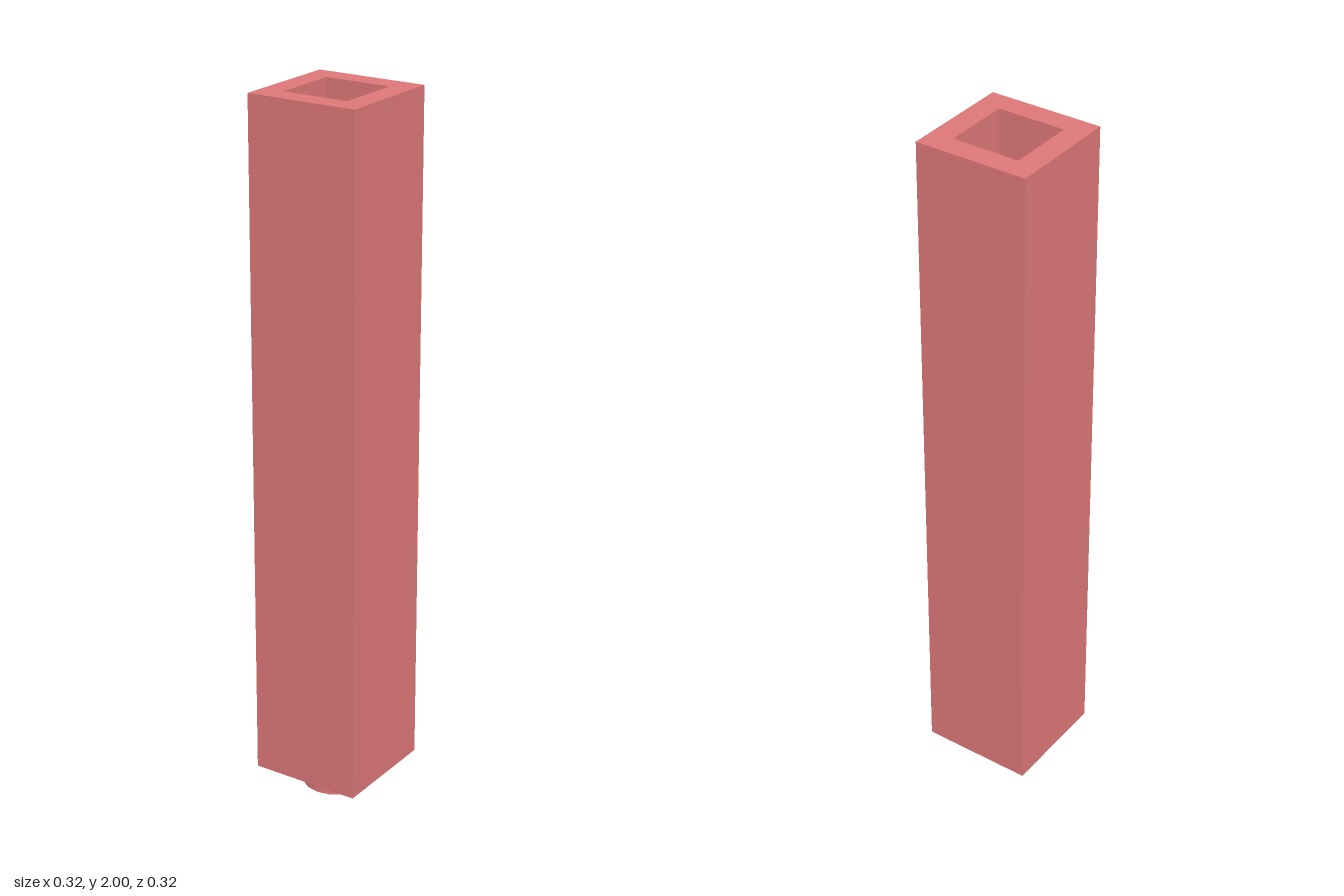
import * as THREE from 'three';
import { toCreasedNormals } from 'three/addons/utils/BufferGeometryUtils.js';

const HALF = 0.1613, INNER = 0.0968;        // outer and inner half widths of the column
const PEG_R = 0.0968, HOLE_R = 0.0645;      // peg and bore radii
const BASE = 0.0645, FLOOR = 0.129, TOP = 2; // heights

const material = new THREE.MeshStandardMaterial({ color: 0xdd7777 });

const squarePoints = (h) => [[-h, -h], [h, -h], [h, h], [-h, h]].map(([x, y]) => new THREE.Vector2(x, y));
const circlePoints = (r) => Array.from({ length: 16 }, (_, i) => {
  const a = (i / 16) * Math.PI * 2;
  return new THREE.Vector2(r * Math.cos(a), r * Math.sin(a));
});

export function createModel() {
  const model = new THREE.Group();
  model.name = 'hollowColumn';

  const add = (name, geometry) => {
    const mesh = new THREE.Mesh(geometry, material);
    mesh.name = name;
    model.add(mesh);
  };

  // Open sleeve between two heights; inward sleeves are mirrored to reverse their winding
  const sleeve = (name, radius, sides, y0, y1, inward = false) => {
    const start = sides === 4 ? Math.PI / 4 : 0;
    const g = new THREE.CylinderGeometry(radius, radius, y1 - y0, sides, 1, true, start);
    if (inward) g.scale(-1, 1, 1);
    g.translate(0, (y0 + y1) / 2, 0);
    add(name, toCreasedNormals(g, Math.PI / 5));
  };

  // Flat horizontal face with a hole, looking up or down
  const face = (name, outline, hole, y, up) => {
    const shape = new THREE.Shape(outline);
    shape.holes.push(new THREE.Path(hole));
    const g = new THREE.ShapeGeometry(shape);
    g.rotateX(up ? -Math.PI / 2 : Math.PI / 2);
    g.translate(0, y, 0);
    add(name, g);
  };

  // Square column, hollow from the rim down to the floor
  sleeve('outerWalls', HALF * Math.SQRT2, 4, BASE, TOP);
  sleeve('innerWalls', INNER * Math.SQRT2, 4, FLOOR, TOP, true);
  face('topRim', squarePoints(HALF), squarePoints(INNER), TOP, true);
  face('innerFloor', squarePoints(INNER), circlePoints(HOLE_R), FLOOR, true);
  face('underside', squarePoints(HALF), circlePoints(PEG_R), BASE, false);

  // Round hollow peg below, its bore opening through the floor
  sleeve('pegWall', PEG_R, 16, 0, BASE);
  sleeve('pegBore', HOLE_R, 16, 0, FLOOR, true);
  face('pegEnd', circlePoints(PEG_R), circlePoints(HOLE_R), 0, false);

  return model;
}
